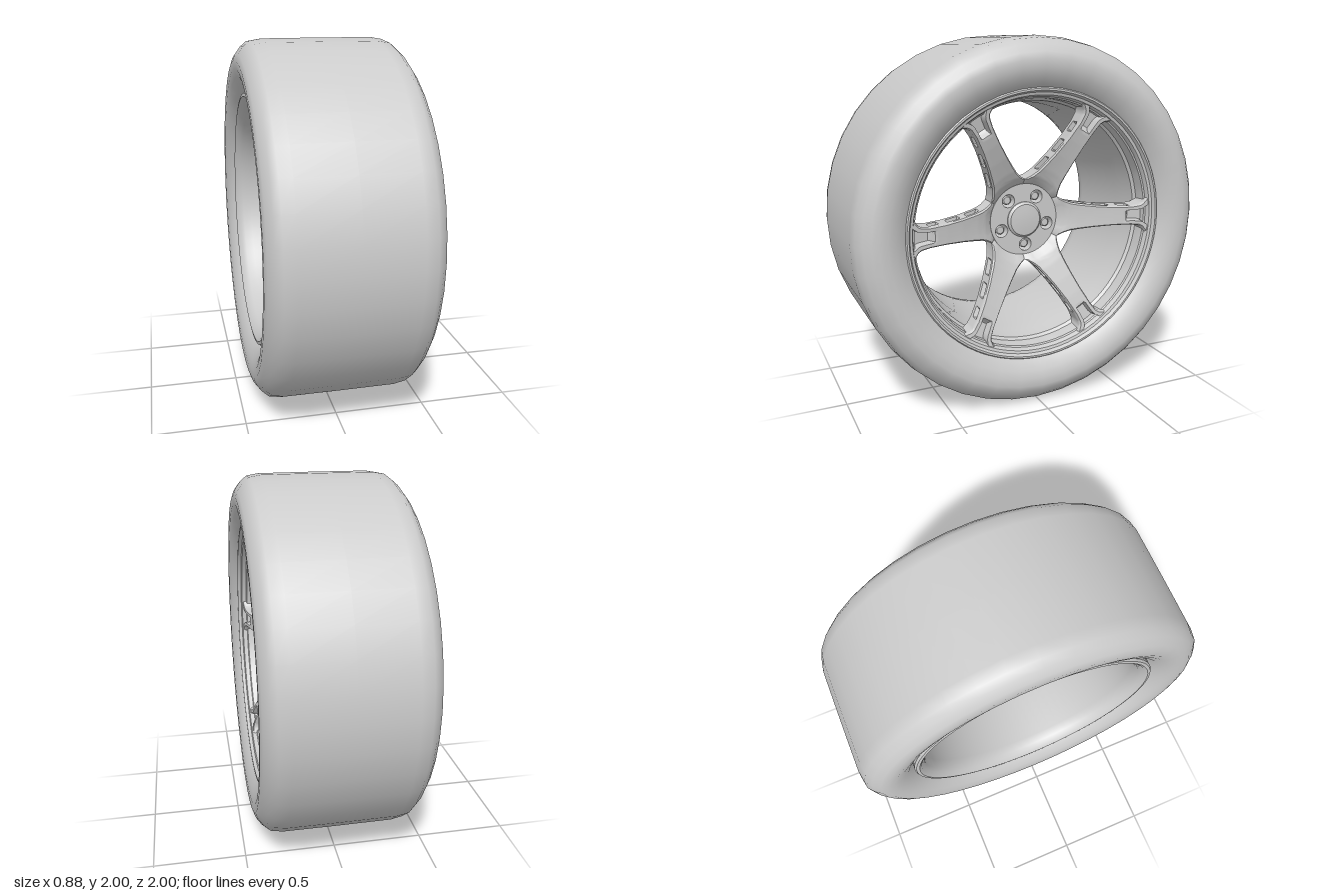
import * as THREE from 'three';
import { toCreasedNormals } from 'three/addons/utils/BufferGeometryUtils.js';

const material = new THREE.MeshStandardMaterial({ color: 0xcccccc, side: THREE.DoubleSide });

function add(parent, name, geometry) {
  const mesh = new THREE.Mesh(geometry, material);
  mesh.name = name;
  parent.add(mesh);
  return mesh;
}

// Linear lookup in a short list of [key, value] pairs
function lookup(table, k) {
  for (let i = 1; i < table.length; i++) {
    const [k0, v0] = table[i - 1], [k1, v1] = table[i];
    if (k <= k1) return v0 + (v1 - v0) * Math.max(0, (k - k0) / (k1 - k0));
  }
  return table[table.length - 1][1];
}

// Revolve a profile of [x, radius] pairs around the x axis
function revolve(profile, segments) {
  const points = profile.map(([x, r]) => new THREE.Vector2(r, x));
  return new THREE.LatheGeometry(points, segments).rotateZ(-Math.PI / 2);
}

const FACE = [[0.2, 0.17], [0.22, 0.19], [0.25, 0.215], [0.3, 0.24], [0.4, 0.28], [0.5, 0.315], [0.6, 0.345], [0.7, 0.365]];
const HALF_WIDTH = [[0.23, 0.115], [0.25, 0.097], [0.28, 0.083], [0.32, 0.075], [0.4, 0.064], [0.5, 0.056], [0.6, 0.055],
  [0.65, 0.062], [0.67, 0.073], [0.685, 0.092], [0.7, 0.11]];
const SIDE_POCKETS = [[0.3, 0.37], [0.42, 0.49], [0.54, 0.6]];
const THICKNESS = 0.11;

// One curved spoke: loops across the spoke, stepped from hub to rim
function spokeGeometry() {
  const across = [-0.88, -0.56, -0.46, 0, 0.46, 0.56, 0.88];
  const side = [0.1, 0.28, 0.34, 0.66, 0.72, 0.95];
  const rows = 50, positions = [], indices = [];
  let count = 0;
  for (let i = 0; i <= rows; i++) {
    const r = 0.2 + 0.01 * i;
    const half = r <= 0.231 ? Math.PI / 6 : Math.asin(lookup(HALF_WIDTH, r) / r);
    const x = lookup(FACE, r);
    const slot = 0.05 * THREE.MathUtils.smoothstep(r, 0.565, 0.6);
    const pocket = SIDE_POCKETS.some(([a, b]) => r > a && r < b) ? 0.45 : 0;
    const loop = across.map(t => [t, x - (Math.abs(t) < 0.5 ? slot : 0)]);
    const wall = side.map((d, k) => [1 - (k === 2 || k === 3 ? pocket : 0), x - d * THICKNESS]);
    loop.push(...wall, [0.9, x - THICKNESS], [-0.9, x - THICKNESS]);
    loop.push(...wall.slice().reverse().map(([t, d]) => [-t, d]));
    count = loop.length;
    for (const [t, d] of loop) positions.push(d, r * Math.sin(t * half), r * Math.cos(t * half));
  }
  for (let i = 0; i < rows; i++) {
    for (let j = 0; j < count; j++) {
      const a = i * count + j, b = i * count + (j + 1) % count;
      indices.push(a, b, a + count, b, b + count, a + count);
    }
  }
  const geometry = new THREE.BufferGeometry();
  geometry.setAttribute('position', new THREE.Float32BufferAttribute(positions, 3));
  geometry.setIndex(indices);
  return toCreasedNormals(geometry, 0.6);
}

export function createModel() {
  const wheel = new THREE.Group();
  wheel.name = 'wheel';
  wheel.position.y = 1;

  // Tyre: half profile mirrored about the middle of the tread
  const half = [[0.33, 0.69], [0.37, 0.725], [0.4, 0.755], [0.425, 0.8], [0.438, 0.84], [0.44, 0.885], [0.428, 0.92],
    [0.4, 0.958], [0.365, 0.988], [0.3, 0.999]];
  const tyre = [...half.map(([x, r]) => [-x, r]), [0, 1], ...half.slice().reverse(), [-0.33, 0.69]];
  add(wheel, 'tyre', revolve(tyre, 40));

  // Rim: front lip, stepped flange, barrel, rolled back lip, outer skin
  const rim = [[0.34, 0.735], [0.385, 0.742], [0.395, 0.735], [0.395, 0.725], [0.375, 0.715], [0.37, 0.7], [0.36, 0.695],
    [0.345, 0.69], [0.34, 0.682], [0.27, 0.678], [0.255, 0.664], [0.18, 0.655], [0.1, 0.645], [-0.3, 0.642], [-0.35, 0.648],
    [-0.37, 0.664], [-0.385, 0.675], [-0.395, 0.69], [-0.392, 0.707], [-0.38, 0.715], [-0.34, 0.712], [-0.33, 0.67],
    [0.1, 0.665], [0.25, 0.69], [0.34, 0.735]];
  add(wheel, 'rim', toCreasedNormals(revolve(rim, 72), 0.6));

  // Six spokes
  const spoke = spokeGeometry();
  for (let i = 0; i < 6; i++) add(wheel, 'spoke', spoke).rotation.x = i * Math.PI / 3;

  // Hub plate with five bolt holes
  const hub = new THREE.Group();
  hub.name = 'hub';
  hub.rotation.y = Math.PI / 2;
  wheel.add(hub);
  const bolts = [0, 1, 2, 3, 4].map(i => {
    const a = THREE.MathUtils.degToRad(-86 + 72 * i);
    return [0.145 * Math.cos(a), 0.145 * Math.sin(a)];
  });
  const plate = new THREE.Shape().absarc(0, 0, 0.202, 0, Math.PI * 2);
  for (const [x, y] of bolts) plate.holes.push(new THREE.Path().absarc(x, y, 0.037, 0, Math.PI * 2, true));
  const plateGeometry = new THREE.ExtrudeGeometry(plate, { depth: 0.11, bevelEnabled: false, curveSegments: 32 });
  add(hub, 'hubPlate', toCreasedNormals(plateGeometry, 0.6)).position.z = 0.065;

  // Centre cap with a chamfered edge
  const cap = [[0, 0.1], [0.182, 0.1], [0.195, 0.088], [0.199, 0.05], [0.2, 0]].map(([z, r]) => new THREE.Vector2(r, z));
  add(hub, 'centreCap', toCreasedNormals(new THREE.LatheGeometry(cap, 40).rotateX(Math.PI / 2), 0.5));

  // Wheel bolts: head in the hole, shank and rounded collar behind the hub
  const bolt = [[-0.04, 0], [-0.04, 0.012], [-0.03, 0.018], [0, 0.018], [0.005, 0.03], [0.025, 0.03], [0.032, 0.019],
    [0.1, 0.019], [0.11, 0.026], [0.15, 0.026], [0.155, 0.02], [0.155, 0]].map(([z, r]) => new THREE.Vector2(r, z));
  const boltGeometry = toCreasedNormals(new THREE.LatheGeometry(bolt, 16).rotateX(Math.PI / 2), 0.6);
  for (const [x, y] of bolts) add(hub, 'wheelBolt', boltGeometry).position.set(x, y, 0);

  return wheel;
}
